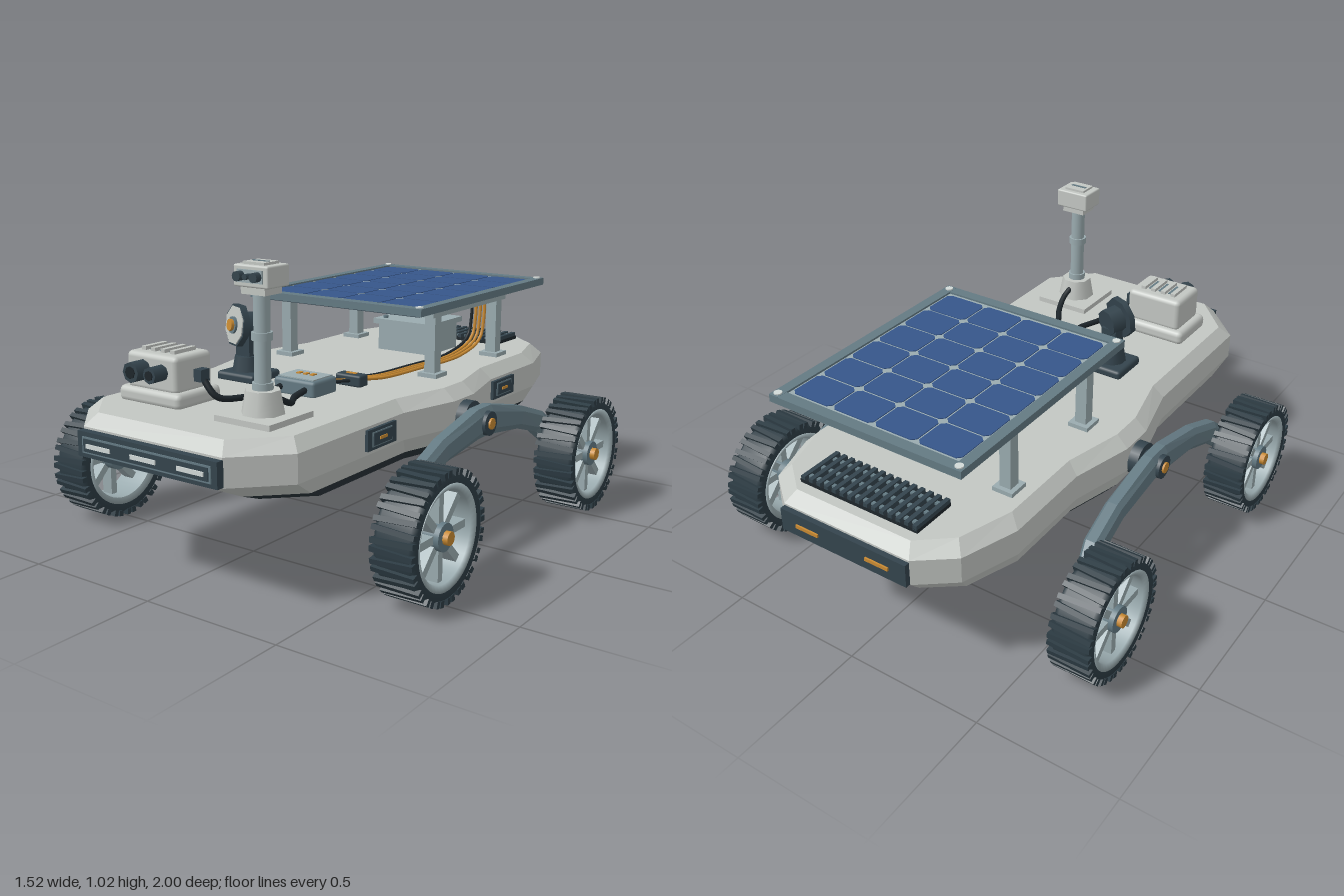
import * as THREE from 'three';
import { mergeGeometries } from 'three/addons/utils/BufferGeometryUtils.js';
import { RoundedBoxGeometry } from 'three/addons/geometries/RoundedBoxGeometry.js';

const paint = (name, color) => {
  const m = new THREE.MeshStandardMaterial({ color });
  m.name = name;
  return m;
};

export function createModel() {
  const root = new THREE.Group();
  root.name = 'rover';
  const shell = paint('shell grey', 0xc3c7c3), dark = paint('dark slate', 0x34444d), tyre = paint('tyre', 0x2d3c44),
    steel = paint('blue steel', 0x647a83), pale = paint('pale steel', 0x9aabaf), belly = paint('belly', 0x2a343a),
    blue = paint('cell blue', 0x36568a), orange = paint('orange', 0xc98a32), black = paint('cable black', 0x1e262b),
    lamp = paint('lamp', 0xd3dad8);

  const add = (name, geo, mat, x = 0, y = 0, z = 0, parent = root) => {
    const m = new THREE.Mesh(geo, mat);
    m.name = name;
    m.position.set(x, y, z);
    parent.add(m);
    return m;
  };
  // box given by its limits on each axis
  const box = (name, mat, x0, x1, y0, y1, z0, z1, r = 0, parent = root) => {
    const s = [x1 - x0, y1 - y0, z1 - z0];
    const g = r ? new RoundedBoxGeometry(...s, 2, r) : new THREE.BoxGeometry(...s);
    return add(name, g, mat, (x0 + x1) / 2, (y0 + y1) / 2, (z0 + z1) / 2, parent);
  };
  const cylX = (r, w, n = 24) => new THREE.CylinderGeometry(r, r, w, n).rotateZ(-Math.PI / 2);
  const cylZ = (r, w, n = 8) => new THREE.CylinderGeometry(r, r, w, n).rotateX(Math.PI / 2);
  const cable = (name, mat, r, pts) => add(name, new THREE.TubeGeometry(
    new THREE.CatmullRomCurve3(pts.map(p => new THREE.Vector3(...p))), 32, r, 8), mat);

  // faceted solid through a list of rings, each ring wound counterclockwise about the axis
  const loft = (rings, firstCap, lastCap, flat) => {
    const pos = [], n = rings[0].length;
    const tri = (...v) => v.forEach(p => pos.push(...p));
    for (let k = 0; k + 1 < rings.length; k++) for (let i = 0; i < n; i++) {
      const j = (i + 1) % n, U = rings[k], L = rings[k + 1];
      tri(L[i], L[j], U[j]);
      tri(L[i], U[j], U[i]);
    }
    const caps = THREE.ShapeUtils.triangulateShape(rings[0].map(flat), []);
    for (const [a, b, c] of caps) {
      if (firstCap) tri(rings[0][a], rings[0][b], rings[0][c]);
      const e = rings[rings.length - 1];
      if (lastCap) tri(e[a], e[c], e[b]);
    }
    const g = new THREE.BufferGeometry();
    g.setAttribute('position', new THREE.Float32BufferAttribute(pos, 3));
    g.computeVertexNormals();
    return g;
  };

  // hull: chamfered deck, vertical belt, undercut and dark belly
  const half = [[0.285, 0.965], [0.435, 0.81], [0.435, 0.25], [0.492, 0.02], [0.492, -0.11],
    [0.435, -0.34], [0.435, -0.68], [0.37, -0.88], [0.25, -0.975]];
  const outline = [...half, ...half.map(([x, z]) => [-x, z]).reverse()];
  const ring = (y, sx, sz, dz = 0) => outline.map(([x, z]) => [x * sx, y, z * sz + dz]);
  const plan = p => new THREE.Vector2(p[0], -p[2]);
  const under = ring(0.35, 0.95, 0.92, -0.025);
  add('hull', loft([ring(0.537, 0.91, 0.96), ring(0.497, 1, 1), ring(0.405, 1, 1), under], true, false, plan), shell);
  add('belly', loft([under, ring(0.31, 0.87, 0.84, -0.05)], false, true, plan), belly);

  // bumpers with light strips
  box('frontBumper', dark, -0.287, 0.287, 0.408, 0.49, 0.95, 0.99);
  box('frontBumperInset', steel, -0.265, 0.265, 0.422, 0.475, 0.988, 0.993);
  box('frontBumperFace', dark, -0.257, 0.257, 0.428, 0.469, 0.99, 0.996);
  for (const x of [-0.19, 0, 0.19]) box('frontLight', lamp, x - 0.052, x + 0.052, 0.441, 0.455, 0.993, 1);
  box('rearBumper', dark, -0.25, 0.25, 0.408, 0.49, -0.994, -0.95);
  for (const x of [-0.14, 0.14]) box('rearLight', orange, x - 0.045, x + 0.045, 0.443, 0.455, -1, -0.992);
  // marker panels on the left flank
  for (const z of [0.39, -0.42]) {
    box('sideMarker', dark, 0.43, 0.446, 0.42, 0.488, z - 0.08, z + 0.08);
    box('sideMarkerFrame', steel, 0.44, 0.448, 0.43, 0.478, z - 0.055, z + 0.055);
    box('sideMarkerFace', dark, 0.443, 0.45, 0.434, 0.474, z - 0.05, z + 0.05);
    box('sideMarkerLight', orange, 0.446, 0.453, 0.449, 0.459, z - 0.02, z + 0.02);
  }

  // wheel parts, axle along x, outer face towards +x
  const lathe = pts => new THREE.LatheGeometry(pts.map(p => new THREE.Vector2(...p)), 48).rotateZ(-Math.PI / 2);
  const tyreGeo = lathe([[0.165, -0.068], [0.19, -0.072], [0.202, -0.055], [0.202, 0.055], [0.19, 0.072], [0.165, 0.068]]);
  const rimGeo = lathe([[0.146, -0.06], [0.168, -0.07], [0.168, 0.07], [0.146, 0.06], [0.146, -0.06]]);
  const around = (n, make) => mergeGeometries(Array.from({ length: n }, (_, i) => make(i).rotateX(i / n * Math.PI * 2)));
  const treadGeo = around(40, i => new THREE.BoxGeometry(0.148, 0.022, 0.017).rotateY(i % 2 ? 0.05 : -0.05).translate(0, 0.2015, 0));
  const spokeGeo = around(8, () => new THREE.BoxGeometry(0.045, 0.12, 0.026).translate(0.02, 0.095, 0));
  const wheel = (s, z) => {
    const g = new THREE.Group();
    g.name = 'wheel';
    g.position.set(s * 0.682, 0.2125, z);
    if (s < 0) g.rotation.y = Math.PI;
    root.add(g);
    add('tyre', tyreGeo, tyre, 0, 0, 0, g);
    add('treads', treadGeo, tyre, 0, 0, 0, g);
    add('rim', rimGeo, pale, 0, 0, 0, g).material.side = THREE.DoubleSide;
    add('spokes', spokeGeo, pale, 0, 0, 0, g);
    add('wheelHub', cylX(0.045, 0.1), steel, 0.01, 0, 0, g);
    add('axle', cylX(0.03, 0.12), dark, -0.03, 0, 0, g);
    add('hubCap', cylX(0.022, 0.03, 12), orange, 0.063, 0, 0, g);
  };

  // rocker arm: chamfered section swept through [x, y, z, tilt from upright] stations
  const section = [[1, 0.55], [0.55, 1], [-0.55, 1], [-1, 0.55], [-1, -0.55], [-0.55, -1], [0.55, -1], [1, -0.55]];
  const stations = [[0.605, 0.2, 0.5, 1.25], [0.595, 0.245, 0.475, 1.05], [0.567, 0.34, 0.36, 0.65], [0.557, 0.385, 0.22, 0.35],
    [0.557, 0.425, 0, 0.08], [0.557, 0.425, -0.08, -0.08], [0.557, 0.385, -0.3, -0.35], [0.567, 0.34, -0.44, -0.65],
    [0.595, 0.245, -0.555, -1.05], [0.605, 0.2, -0.58, -1.25]];
  const armRings = s => {
    const rings = stations.map(([x, y, z, a], k) => section.map(([u, v]) => {
      const h = k === 4 || k === 5 ? 0.052 : 0.042;
      return [s * (x + u * 0.031), y + v * h * Math.cos(a), z + v * h * Math.sin(a)];
    }));
    return s > 0 ? rings : rings.map(r => r.reverse());
  };
  for (const s of [1, -1]) {
    for (const z of [0.49, -0.57]) wheel(s, z);
    add('rockerArm', loft(armRings(s), true, true, p => new THREE.Vector2(s * p[0] * s, p[1])), steel);
    add('pivotFlange', cylX(0.06, 0.05), dark, s * 0.503, 0.43, -0.045);
    add('pivotHub', cylX(0.042, 0.1), dark, s * 0.55, 0.423, -0.04);
    add('pivotCap', cylX(0.02, 0.014, 12), orange, s * 0.6, 0.423, -0.04);
  }

  // solar panel with rails and posts
  box('panelUnderside', dark, -0.36, 0.36, 0.772, 0.78, -0.86, 0.042);
  box('panelBed', pale, -0.345, 0.345, 0.779, 0.796, -0.84, 0.02);
  for (const s of [-1, 1]) {
    box('panelFrameSide', steel, s * 0.3545 - 0.0185, s * 0.3545 + 0.0185, 0.776, 0.803, -0.87, 0.052);
    box('panelFrameEnd', steel, -0.373, 0.373, 0.776, 0.8025, s > 0 ? 0.012 : -0.87, s > 0 ? 0.052 : -0.83);
    for (const z of [-0.85, 0.03]) add('panelScrew', new THREE.CylinderGeometry(0.014, 0.014, 0.01, 10), lamp, s * 0.353, 0.802, z);
    box('panelRail', pale, s * 0.32 - 0.028, s * 0.32 + 0.028, 0.752, 0.775, -0.6, -0.07);
    for (const z of [-0.115, -0.56]) {
      box('panelPost', pale, s * 0.32 - 0.021, s * 0.32 + 0.021, 0.535, 0.755, z - 0.021, z + 0.021);
      box('postFoot', pale, s * 0.32 - 0.038, s * 0.32 + 0.038, 0.53, 0.552, z - 0.038, z + 0.038);
    }
  }
  const a = 0.0795, b = 0.0645, c = 0.014;
  const cellShape = new THREE.Shape([[a, b - c], [a - c, b], [c - a, b], [-a, b - c], [-a, c - b], [c - a, -b], [a - c, -b], [a, c - b]]
    .map(p => new THREE.Vector2(...p)));
  const cells = [];
  for (let i = 0; i < 4; i++) for (let j = 0; j < 6; j++) cells.push(
    new THREE.ExtrudeGeometry(cellShape, { depth: 0.004, bevelEnabled: false }).rotateX(-Math.PI / 2)
      .translate((i - 1.5) * 0.166, 0.795, -0.409 + (j - 2.5) * 0.137));
  add('solarCells', mergeGeometries(cells), blue);

  // battery box and rear vent
  box('batteryBox', pale, -0.1, 0.13, 0.535, 0.645, -0.61, -0.4);
  box('batteryLid', pale, -0.115, 0.145, 0.64, 0.66, -0.625, -0.385);
  for (const x of [-0.08, 0.11]) add('lidBolt', new THREE.CylinderGeometry(0.01, 0.01, 0.012, 8), steel, x, 0.664, -0.42);
  box('ventPlate', black, -0.225, 0.245, 0.53, 0.55, -0.9, -0.735);
  for (let i = 0; i < 15; i++) {
    const x = -0.215 + i * 0.032;
    box('ventSlat', dark, x - 0.008, x + 0.008, 0.545, 0.563, -0.9, -0.735);
  }
  for (const z of [-0.875, -0.82, -0.765]) box('ventBar', steel, -0.22, 0.24, 0.545, 0.558, z - 0.007, z + 0.007);

  // camera mast
  box('mastPlate', shell, 0.1, 0.315, 0.53, 0.556, 0.575, 0.79);
  add('mastPedestal', new THREE.CylinderGeometry(0.056, 0.07, 0.075, 8).rotateY(Math.PI / 8).toNonIndexed(), shell, 0.206, 0.593, 0.685);
  add('mast', new THREE.CylinderGeometry(0.026, 0.026, 0.32, 16), pale, 0.206, 0.78, 0.685);
  for (const y of [0.64, 0.795]) add('mastCollar', new THREE.CylinderGeometry(0.033, 0.033, 0.025, 16), pale, 0.206, y, 0.685);
  box('mastNeck', shell, 0.16, 0.252, 0.923, 0.948, 0.645, 0.725);
  box('mastHead', shell, 0.14, 0.272, 0.945, 1.012, 0.632, 0.735, 0.006);
  box('mastHeadCap', shell, 0.165, 0.247, 1.005, 1.02, 0.65, 0.72);
  box('mastHeadSlot', steel, 0.175, 0.237, 1.018, 1.022, 0.68, 0.69);
  box('mastHeadFace', pale, 0.158, 0.254, 0.96, 0.999, 0.73, 0.74);
  for (const [x, r] of [[-0.032, 0.015], [0, 0.009], [0.032, 0.015]]) add('mastLens', cylZ(r, 0.03, 12), dark, 0.206 + x, 0.98, 0.748);

  // twin-lens instrument box
  box('instrumentBase', shell, -0.34, -0.07, 0.53, 0.585, 0.56, 0.765, 0.02);
  box('instrumentBox', shell, -0.312, -0.092, 0.575, 0.7, 0.58, 0.75, 0.018);
  for (let i = 0; i < 4; i++) {
    const x = -0.265 + i * 0.042;
    box('coolingRib', shell, x - 0.009, x + 0.009, 0.695, 0.712, 0.615, 0.715);
    if (i < 3) box('coolingSlot', steel, x + 0.015, x + 0.027, 0.697, 0.703, 0.63, 0.7);
  }
  for (const [x, r] of [[-0.235, 0.034], [-0.153, 0.027]]) {
    add('lensBarrel', cylZ(r, 0.065), dark, x, 0.645, 0.775);
    add('lensGlass', cylZ(r * 0.6, 0.008), black, x, 0.645, 0.807);
  }
  box('cableSocket', dark, -0.095, -0.06, 0.61, 0.65, 0.63, 0.67);

  // dish antenna on a swivel
  box('antennaBase', dark, -0.275, -0.11, 0.53, 0.565, 0.205, 0.36, 0.012);
  add('antennaSwivel', new THREE.CylinderGeometry(0.045, 0.055, 0.055, 10), dark, -0.195, 0.59, 0.285);
  box('antennaYoke', dark, -0.225, -0.165, 0.6, 0.7, 0.255, 0.31);
  const dish = new THREE.Group();
  dish.name = 'antennaDish';
  dish.position.set(-0.2, 0.725, 0.3);
  dish.rotation.set(-0.12, -0.42, 0, 'YXZ');
  root.add(dish);
  const oct = (r, w) => cylZ(r, w).rotateZ(Math.PI / 8);
  add('dishHousing', oct(0.05, 0.06), dark, 0, 0, -0.015, dish);
  add('dishRim', oct(0.077, 0.022), dark, 0, 0, 0.02, dish);
  add('dishFace', oct(0.069, 0.008), shell, 0, 0, 0.031, dish);
  add('dishCollar', cylZ(0.03, 0.014, 16), steel, 0, 0, 0.036, dish);
  add('dishFeed', cylZ(0.021, 0.026, 12), orange, 0, 0, 0.04, dish);

  // junction box, connector and wiring
  box('junctionBox', steel, 0.01, 0.18, 0.53, 0.59, 0.265, 0.395, 0.012);
  box('junctionLid', pale, 0.022, 0.168, 0.585, 0.594, 0.277, 0.383);
  for (const x of [0.065, 0.093, 0.121]) box('junctionLight', orange, x - 0.007, x + 0.007, 0.592, 0.598, 0.31, 0.332);
  box('connector', dark, 0.113, 0.218, 0.535, 0.577, 0.135, 0.187, 0.008);
  box('connectorMark', orange, 0.145, 0.186, 0.575, 0.58, 0.155, 0.167);
  for (let i = 0; i < 4; i++) {
    const d = i * 0.018, m = i % 2 ? orange : black;
    cable('panelWire', i === 0 ? black : orange, 0.006, [[0.138 + d, 0.556, 0.14], [0.17 + d, 0.55, 0.06], [0.19 + d, 0.548, -0.15],
      [0.21 + d, 0.555, -0.42], [0.22 + d, 0.6, -0.54], [0.225 + d, 0.69, -0.56], [0.225 + d, 0.775, -0.56]]);
    if (i < 3) cable('junctionWire', m, 0.006, [[0.14 + d, 0.556, 0.18], [0.115 + d, 0.558, 0.22], [0.075 + d, 0.56, 0.27]]);
  }
  cable('instrumentCable', black, 0.011, [[0.04, 0.56, 0.39], [0.04, 0.55, 0.46], [0.01, 0.548, 0.55], [-0.03, 0.56, 0.63], [-0.08, 0.63, 0.65]]);
  cable('mastCable', black, 0.011, [[0.142, 0.56, 0.39], [0.145, 0.55, 0.45], [0.19, 0.552, 0.53], [0.208, 0.575, 0.59], [0.206, 0.6, 0.64]]);
  return root;
}
